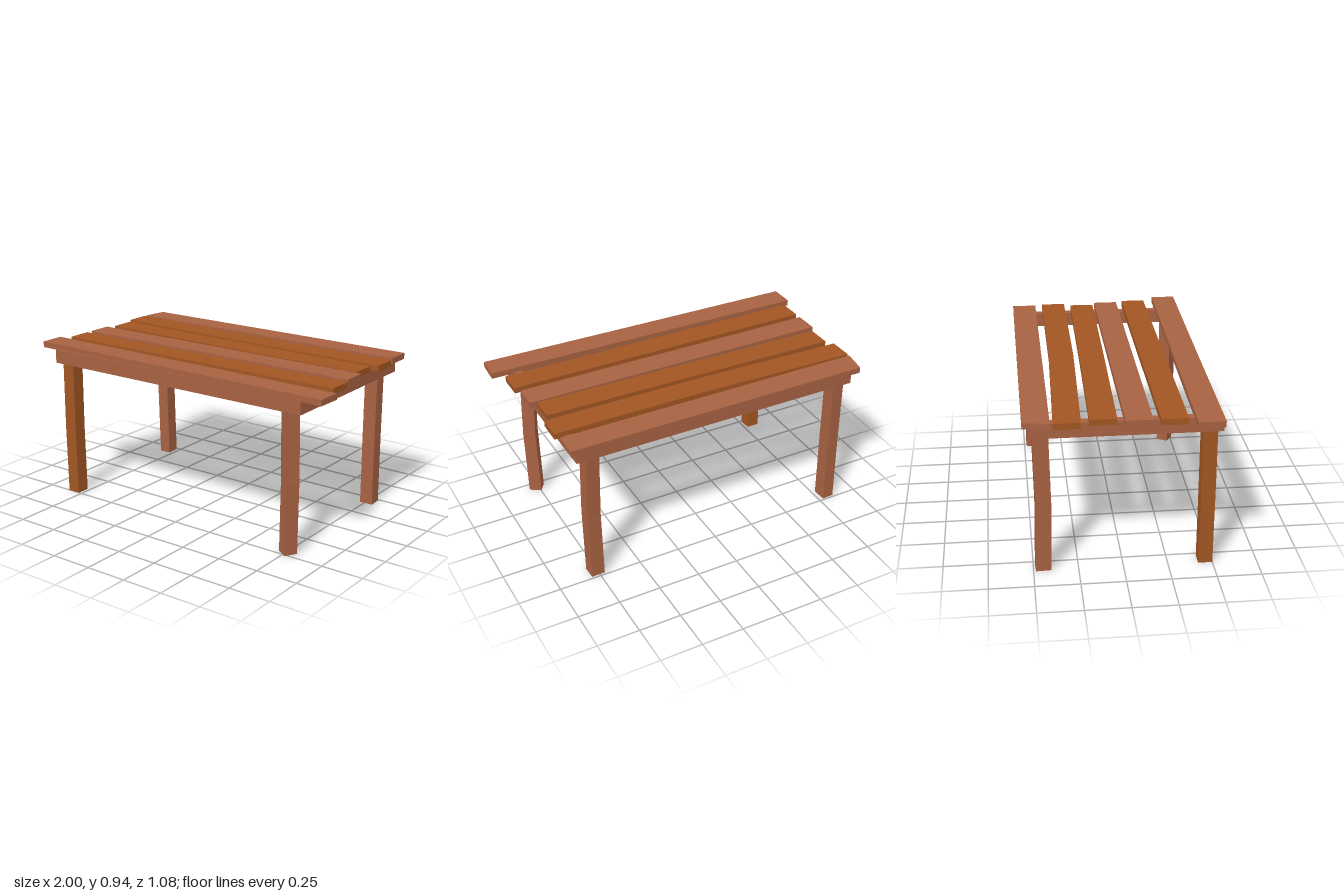
import * as THREE from 'three';

const brown = new THREE.MeshStandardMaterial({ color: 0xa86242, flatShading: true });
const orange = new THREE.MeshStandardMaterial({ color: 0xa35623, flatShading: true });

export function createModel() {
  const table = new THREE.Group();
  table.name = 'plankTable';

  const add = (name, geometry, material, x = 0, y = 0, z = 0) => {
    geometry.computeVertexNormals();
    const mesh = new THREE.Mesh(geometry, material);
    mesh.name = name;
    mesh.position.set(x, y, z);
    table.add(mesh);
  };

  // Top planks: crooked boards, given by end x positions and the back edge z at left, middle, right
  const plankWidth = 0.145, plankBottom = 0.905, plankTop = 0.94;
  const plank = (name, material, leftBack, leftFront, rightBack, rightFront, z) => {
    const g = new THREE.BoxGeometry(2, plankTop - plankBottom, 1, 2, 1, 1);
    const p = g.attributes.position;
    for (let i = 0; i < p.count; i++) {
      const column = Math.round(p.getX(i)) + 1;
      const front = p.getZ(i) > 0;
      const left = front ? leftFront : leftBack;
      const right = front ? rightFront : rightBack;
      p.setX(i, [left, 0, right][column]);
      p.setZ(i, z[column] + (front ? plankWidth : 0));
    }
    add(name, g, material, 0, (plankBottom + plankTop) / 2, 0);
  };
  plank('plank1', brown, -0.92, -0.945, 0.9, 0.9, [-0.54, -0.54, -0.54]);
  plank('plank2', orange, -0.945, -0.945, 0.915, 0.912, [-0.38, -0.353, -0.35]);
  plank('plank3', orange, -0.915, -0.915, 0.88, 0.877, [-0.19, -0.175, -0.165]);
  plank('plank4', brown, -0.945, -0.945, 0.915, 0.915, [-0.005, -0.005, -0.005]);
  plank('plank5', orange, -0.945, -0.945, 0.935, 0.935, [0.18, 0.18, 0.18]);
  plank('plank6', brown, -1, -1, 0.995, 0.99, [0.365, 0.377, 0.39]);

  // Frame under the planks
  const railY = 0.87, railH = 0.083, railT = 0.05;
  const x0 = -0.885, x1 = 0.86, z0 = -0.508, z1 = 0.525;
  for (const [name, z] of [['backRail', z0 + railT / 2], ['frontRail', z1 - railT / 2]]) {
    add(name, new THREE.BoxGeometry(x1 - x0, railH, railT), brown, (x0 + x1) / 2, railY, z);
  }
  for (const [name, x] of [['rightRail', x0 + railT / 2], ['leftRail', x1 - railT / 2]]) {
    add(name, new THREE.BoxGeometry(railT, railH, z1 - z0 - 2 * railT), brown, x, railY, (z0 + z1) / 2);
  }

  // Legs: square posts bowed slightly at mid height and turned about their own axis
  const legH = 0.84;
  const leg = (name, material, x, z, w, d, turn, bowX, bowZ) => {
    const g = new THREE.BoxGeometry(w, legH, d, 1, 2, 1).rotateY(turn);
    const p = g.attributes.position;
    for (let i = 0; i < p.count; i++) {
      if (Math.abs(p.getY(i)) < 0.01) {
        p.setX(i, p.getX(i) + bowX);
        p.setZ(i, p.getZ(i) + bowZ);
      }
    }
    add(name, g, material, x, legH / 2, z);
  };
  leg('frontRightLeg', orange, -0.81, 0.46, 0.08, 0.08, 0, -0.004, 0);
  leg('frontLeftLeg', brown, 0.759, 0.46, 0.075, 0.075, -0.57, 0.008, 0.005);
  leg('backLeftLeg', brown, 0.76, -0.446, 0.08, 0.08, 0.03, 0.004, 0.01);
  leg('backRightLeg', brown, -0.812, -0.446, 0.072, 0.085, 0.06, -0.004, 0.008);

  return table;
}
